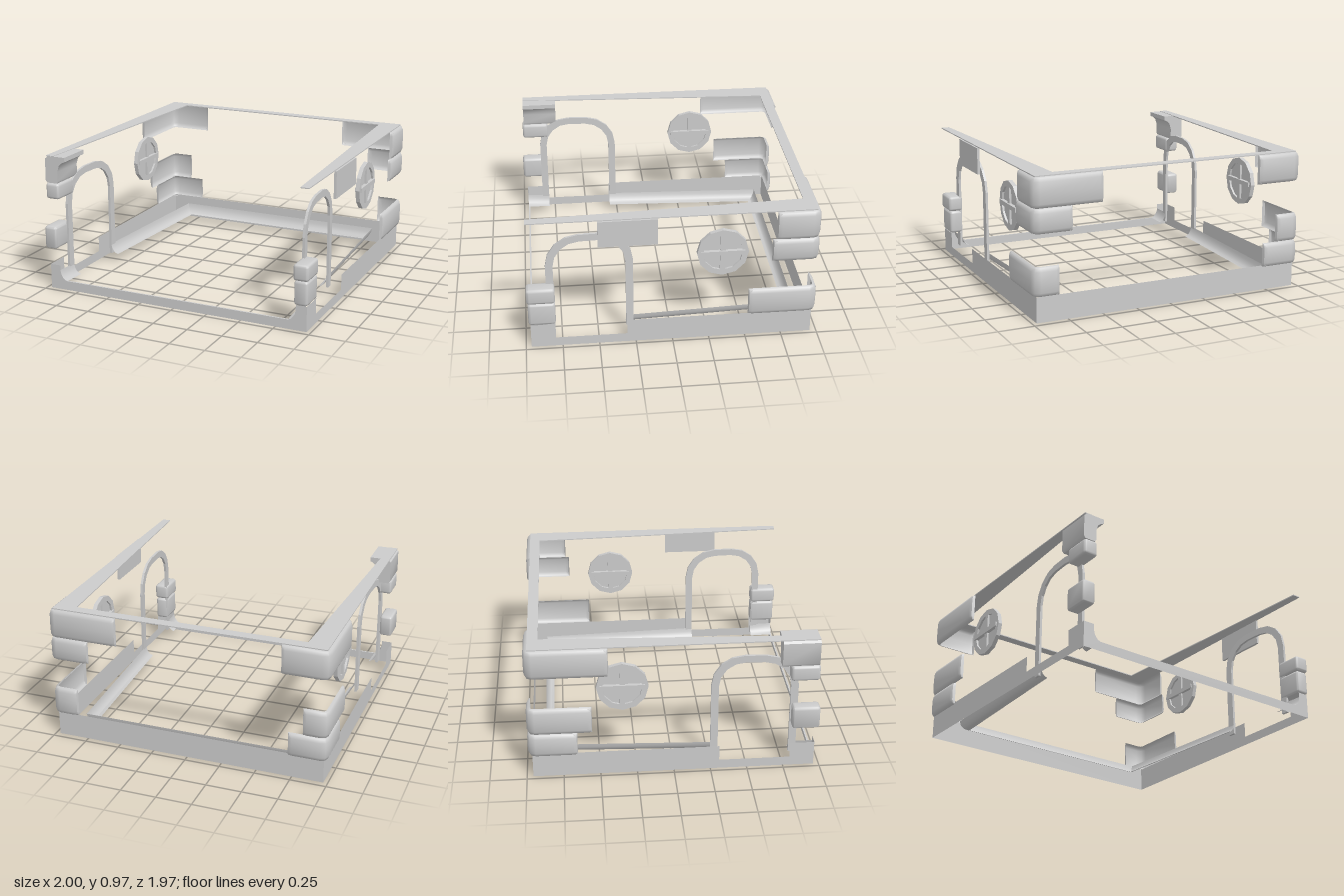
import * as THREE from 'three';
import { toCreasedNormals } from 'three/addons/utils/BufferGeometryUtils.js';
import { RoundedBoxGeometry } from 'three/addons/geometries/RoundedBoxGeometry.js';

const mat = new THREE.MeshStandardMaterial({ color: 0xcccccc, side: THREE.DoubleSide });
const X = 0.97, ZB = -0.957, ZF = 0.963;           // outer wall planes
const wallX = (z) => 0.845 + 0.05 * z;             // tapering inner wall
const cove = [[0, 0.14], [0.006, 0.11], [0.02, 0.085], [0.035, 0.072], [0.055, 0.065]];

function add(parent, name, geo) {
  const m = new THREE.Mesh(geo, mat);
  m.name = name;
  parent.add(m);
  return m;
}

const poly = (pts) => new THREE.Shape(pts.map((p) => new THREE.Vector2(p[0], p[1])));

// Surface through a grid of points, rows of equal length
function sheet(rows) {
  const n = rows[0].length, idx = [];
  for (let i = 0; i < rows.length - 1; i++) {
    for (let j = 0; j < n - 1; j++) {
      const a = i * n + j, b = a + n;
      idx.push(a, b, a + 1, b, b + 1, a + 1);
    }
  }
  const g = new THREE.BufferGeometry();
  g.setAttribute('position', new THREE.Float32BufferAttribute(rows.flat(2), 3));
  g.setIndex(idx);
  g.computeVertexNormals();
  return toCreasedNormals(g, 0.9);
}

// Shape drawn in (-z, y), turned to face +x
const sideways = (g, x) => g.rotateY(Math.PI / 2).translate(x, 0, 0);

// Hollow stone wrapped round a back corner: legs reach xEnd and zEnd
function cornerStone(s, xEnd, zEnd, y0, y1, out = 0.029) {
  const path = [
    [xEnd, ZB, 0, -1, 0], [xEnd + 0.006, ZB, 0, -1, 0.7], [xEnd + 0.03, ZB, 0, -1, 1],
    [X - 0.025, ZB, 0, -1, 1], [X - 0.007, ZB + 0.007, 0.72, -0.72, 1], [X, ZB + 0.025, 1, 0, 1],
    [X, zEnd - 0.03, 1, 0, 1], [X, zEnd - 0.006, 1, 0, 0.7], [X, zEnd, 1, 0, 0],
  ];
  const prof = [[y0, 0], [y0 + 0.006, 0.6], [y0 + 0.03, 0.95], [(y0 + y1) / 2, 1],
    [y1 - 0.03, 0.95], [y1 - 0.006, 0.6], [y1, 0]];
  return sheet(path.map(([x, z, nx, nz, k]) => prof.map(([y, b]) =>
    [s * (x + nx * k * b * out), y, z + nz * k * b * out])));
}

function block(x0, x1, y0, y1, z0, z1, r = 0.02) {
  return new RoundedBoxGeometry(x1 - x0, y1 - y0, z1 - z0, 2, r)
    .translate((x0 + x1) / 2, (y0 + y1) / 2, (z0 + z1) / 2);
}

// Outline of the arch: half width w, crown height h, shoulder radius r
function archPoints(w, h, r, mid) {
  const pts = [[-mid - w, 0.065]];
  for (let i = 0; i <= 4; i++) {
    const a = Math.PI - (i / 4) * Math.PI / 2;
    pts.push([-mid - w + r + r * Math.cos(a), h - r + r * Math.sin(a)]);
  }
  for (let i = 0; i <= 4; i++) {
    const a = Math.PI / 2 - (i / 4) * Math.PI / 2;
    pts.push([-mid + w - r + r * Math.cos(a), h - r + r * Math.sin(a)]);
  }
  pts.push([-mid + w, 0.065]);
  return pts;
}

function archFrame() {
  const mid = 0.552;
  const pts = [...archPoints(0.294, 0.82, 0.225, mid), ...archPoints(0.243, 0.77, 0.18, mid).reverse()];
  const g = sideways(new THREE.ExtrudeGeometry(poly(pts), { depth: 0.018, bevelEnabled: false }), 0);
  const p = g.attributes.position;
  for (let i = 0; i < p.count; i++) p.setX(i, p.getX(i) + wallX(p.getZ(i)) - 0.002);
  g.computeVertexNormals();
  return g;
}

function roundWindow() {
  const w = new THREE.Group();
  w.name = 'roundWindow';
  const ngon = (r) => Array.from({ length: 12 }, (_, i) =>
    [r * Math.sin(i * Math.PI / 6), r * Math.cos(i * Math.PI / 6)]);
  const ring = poly(ngon(0.175));
  ring.holes.push(poly(ngon(0.135)));
  add(w, 'windowRing', sideways(new THREE.ExtrudeGeometry(ring, { depth: 0.03, bevelEnabled: false }), -0.015));
  add(w, 'windowPane', sideways(new THREE.ShapeGeometry(poly(ngon(0.14))), 0));
  add(w, 'windowCrossbar', new THREE.BoxGeometry(0.05, 0.032, 0.3));
  add(w, 'windowUpright', new THREE.BoxGeometry(0.03, 0.27, 0.036));
  w.position.set(0.905, 0.64, -0.342);
  return w;
}

// Concave skirting on both sides of the door
function skirtRows(z0, z1) {
  return cove.map(([d, y]) => [[wallX(z0) - d, y, z0], [wallX(z1) - d, y, z1]]);
}

export function createModel() {
  const model = new THREE.Group();

  // Everything alike on both sides
  for (const s of [1, -1]) {
    const side = new THREE.Group();
    side.name = s > 0 ? 'leftWall' : 'rightWall';
    side.scale.x = s;
    const outline = [[ZB, 0], [ZF, 0], [ZF, 0.175], [0.795, 0.175], [0.795, 0.065],
      [0.31, 0.065], [0.31, 0.175], [ZB, 0.175]].map(([z, y]) => [-z, y]);
    add(side, 'sidePlinth', sideways(new THREE.ShapeGeometry(poly(outline)), X));
    add(side, 'archFrame', archFrame());
    side.add(roundWindow());
    add(side, 'frontSkirting', sheet(skirtRows(0.795, ZF)));
    model.add(side);
  }

  // Skirting round the sides and back
  add(model, 'skirting', sheet(cove.map(([d, y]) => {
    const a = wallX(0.31) - d, b = wallX(-0.865) - d, z = -0.865 + d;
    return [[a, y, 0.31], [b, y, z], [-b, y, z], [-a, y, 0.31]];
  })));

  // Back and front plinth
  add(model, 'backPlinth', new THREE.PlaneGeometry(2 * X, 0.175).rotateY(Math.PI).translate(0, 0.0875, ZB));
  const edge = [[wallX(ZF), 0.175], ...cove.map(([d, y]) => [wallX(ZF) - d, y])];
  const front = [[-X, 0], [X, 0], [X, 0.175], ...edge,
    ...edge.map(([x, y]) => [-x, y]).reverse(), [-X, 0.175]];
  add(model, 'frontPlinth', new THREE.ShapeGeometry(poly(front)).translate(0, 0, ZF));
  add(model, 'frontSill', new THREE.PlaneGeometry(1.68, 0.012).rotateX(-Math.PI / 2).translate(0, 0.065, ZF - 0.006));

  // Flat ledge along the top, open to the front (drawn in x, -z)
  const ledge = poly([[-X, -ZF], [-0.912, -ZF], [-0.82, 0.885], [0.82, 0.885], [0.912, -ZF],
    [X, -ZF], [X, -ZB], [-X, -ZB]]);
  add(model, 'topLedge', new THREE.ExtrudeGeometry(ledge, { depth: 0.007, bevelEnabled: false })
    .rotateX(-Math.PI / 2).translate(0, 0.962, 0));

  // Plate below the ledge
  add(model, 'sidePlate', new THREE.BoxGeometry(0.018, 0.19, 0.395).translate(0.974, 0.867, 0.298));

  // Back corner stones: side, x reach, z reach, bottom, top
  const backStones = [
    [1, 0.5, -0.69, 0.757, 0.962], [1, 0.715, -0.665, 0.59, 0.757], [1, 0.81, -0.515, 0.175, 0.375],
    [-1, 0.665, -0.435, 0.757, 0.962], [-1, 0.82, -0.55, 0.335, 0.53], [-1, 0.72, -0.65, 0.165, 0.335],
  ];
  for (const st of backStones) add(model, 'backCornerStone', cornerStone(...st));

  // Front corner stones: x, y and z ranges
  const frontStones = [
    [0.875, 0.982, 0.345, 0.458, 0.79, 0.982], [0.88, 0.976, 0.175, 0.345, 0.79, 0.975],
    [-0.978, -0.875, 0.66, 0.772, 0.78, 0.975], [-0.995, -0.9, 0.3, 0.462, 0.8, 0.988],
  ];
  for (const st of frontStones) add(model, 'frontCornerStone', toCreasedNormals(block(...st), 0.9));

  // Flared stone carrying the ledge
  const flare = poly([[-0.968, 0.775], [-0.89, 0.775], [-0.882, 0.79], [-0.882, 0.86], [-0.868, 0.905],
    [-0.845, 0.925], [-0.822, 0.935], [-0.822, 0.966], [-0.955, 0.966], [-0.978, 0.945], [-0.98, 0.79]]);
  add(model, 'flaredStone', toCreasedNormals(
    new THREE.ExtrudeGeometry(flare, { depth: 0.25, bevelEnabled: false }).translate(0, 0, 0.715), 0.7));

  return model;
}
